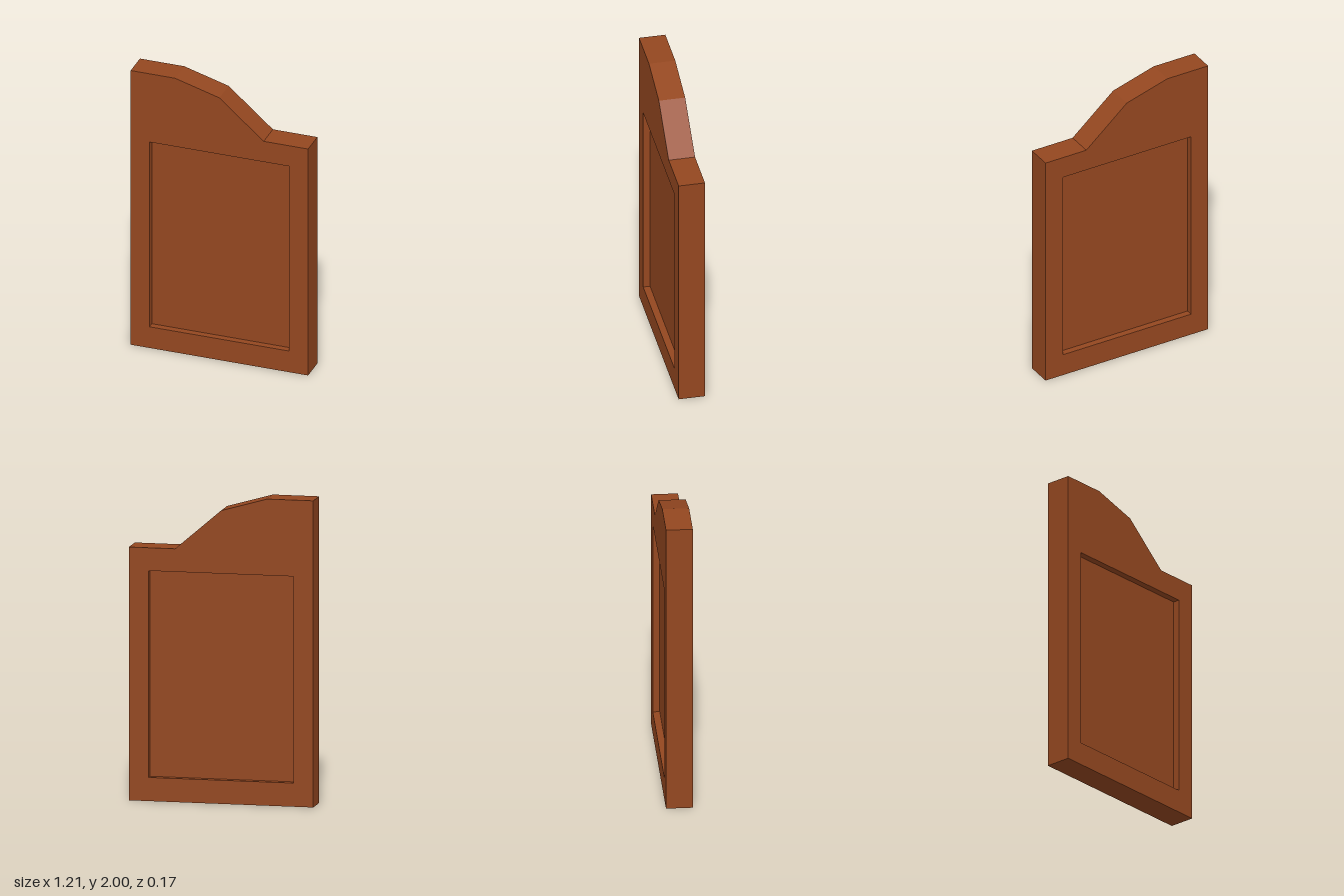
import * as THREE from 'three';

const DEPTH = 0.173;   // full thickness of the door
const RECESS = 0.045;  // how far the panel sits back on each side

export function createModel() {
  const group = new THREE.Group();
  group.name = 'swingDoor';
  const wood = new THREE.MeshStandardMaterial({ color: 0x944720 });
  wood.name = 'brown wood';

  // Frame outline with the stepped, sloping top
  const outline = new THREE.Shape([
    [-0.607, 0], [0.607, 0], [0.607, 1.652], [0.303, 1.652],
    [0, 1.913], [-0.303, 2], [-0.607, 2],
  ].map(([x, y]) => new THREE.Vector2(x, y)));

  // Rectangular opening for the panel
  const left = -0.479, right = 0.477, bottom = 0.154, top = 1.502;
  outline.holes.push(new THREE.Path([
    [left, bottom], [left, top], [right, top], [right, bottom],
  ].map(([x, y]) => new THREE.Vector2(x, y))));

  const frameGeometry = new THREE.ExtrudeGeometry(outline, { depth: DEPTH, bevelEnabled: false });
  frameGeometry.translate(0, 0, -DEPTH / 2);
  const frame = new THREE.Mesh(frameGeometry, wood);
  frame.name = 'frame';
  group.add(frame);

  // Panel, recessed on the front and the back
  const panel = new THREE.Mesh(
    new THREE.BoxGeometry(right - left, top - bottom, DEPTH - 2 * RECESS), wood);
  panel.position.set((left + right) / 2, (top + bottom) / 2, 0);
  panel.name = 'recessedPanel';
  group.add(panel);

  return group;
}
